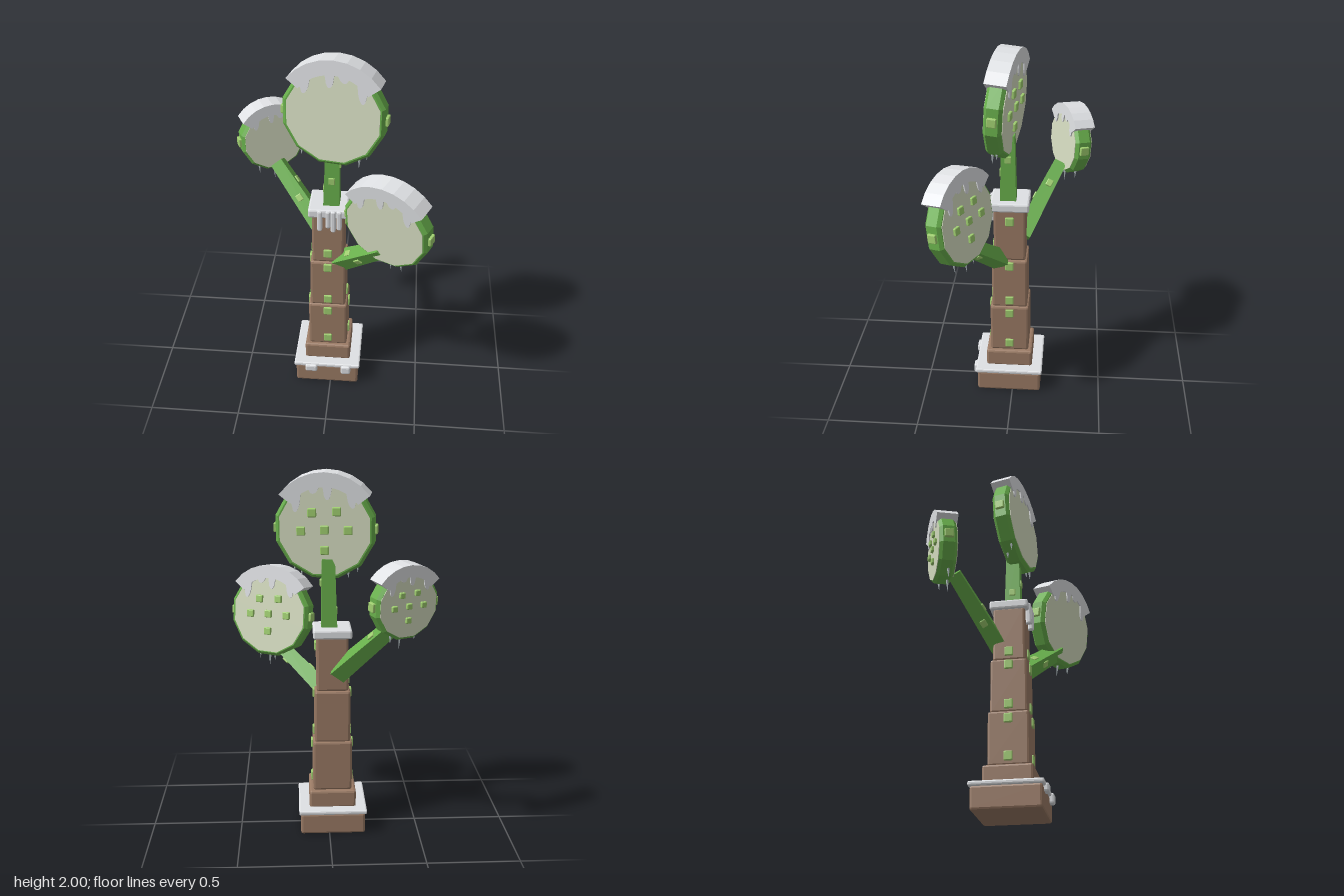
import * as THREE from 'three';
import { RoundedBoxGeometry } from 'three/addons/geometries/RoundedBoxGeometry.js';

const mat = (color) => new THREE.MeshStandardMaterial({ color, flatShading: true });
const BARK = mat(0x9b7b65), GREEN = mat(0x69b04c), LEAF = mat(0xa0cf70);
const PALE = mat(0xd8dfc3), SNOW = mat(0xdfe1e4), ICE = mat(0xb4bfc2);
const CX = -0.02, CZ = 0.02; // trunk axis

function add(parent, name, geometry, material, x = 0, y = 0, z = 0) {
  const m = new THREE.Mesh(geometry, material);
  m.name = name;
  m.position.set(x, y, z);
  parent.add(m);
  return m;
}

// Box with chamfered edges
const block = (w, h, d, bevel) => new RoundedBoxGeometry(w, h, d, 1, bevel);

// Square block on the trunk axis between two heights
function tier(parent, name, half, y0, y1, material, bevel = 0.012) {
  add(parent, name, block(half * 2, y1 - y0, half * 2, bevel), material, CX, (y0 + y1) / 2, CZ);
}

// Slightly tapered square branch between two points, with small leaf patches
function branch(parent, name, from, to, w0, w1) {
  const a = new THREE.Vector3(...from), b = new THREE.Vector3(...to);
  const dir = b.clone().sub(a), len = dir.length();
  const g = new THREE.Group();
  g.name = name;
  g.position.copy(a).addScaledVector(dir, 0.5);
  g.quaternion.setFromUnitVectors(new THREE.Vector3(0, 1, 0), dir.normalize());
  const geo = new THREE.CylinderGeometry(w1 * Math.SQRT1_2, w0 * Math.SQRT1_2, len, 4);
  add(g, name + 'Wood', geo.rotateY(Math.PI / 4), GREEN);
  const off = (w0 + w1) / 4;
  add(g, 'branchPatch', block(0.035, 0.04, 0.014, 0.004), LEAF, 0, 0, off);
  add(g, 'branchPatch', block(0.014, 0.04, 0.035, 0.004), LEAF, off, len * 0.2, 0);
  add(g, 'branchPatch', block(0.014, 0.04, 0.035, 0.004), LEAF, -off, -len * 0.15, 0);
  parent.add(g);
}

// Curved snow cap with drips hanging over both faces
function snowGeometry(R) {
  const r1 = R + 0.028, r0 = R * 0.82, a0 = 0.65, a1 = Math.PI - 0.65;
  const drips = [[-0.52, 0.2], [-0.06, 0.24], [0.2, 0.1], [0.54, 0.27]];
  const pts = [];
  for (let i = 0; i <= 8; i++) {
    const a = a0 + ((a1 - a0) * i) / 8;
    pts.push(new THREE.Vector2(r1 * Math.cos(a), r1 * Math.sin(a)));
  }
  for (let i = 0; i <= 60; i++) {
    const a = a1 + ((a0 - a1) * i) / 60, x = r0 * Math.cos(a);
    let drop = 0;
    for (const [dx, l] of drips) {
      const t = (x / R - dx) / 0.085;
      if (Math.abs(t) < 1) drop = Math.max(drop, l * R * Math.sqrt(1 - t * t));
    }
    pts.push(new THREE.Vector2(x, r0 * Math.sin(a) - drop));
  }
  const depth = 0.114;
  const geo = new THREE.ExtrudeGeometry(new THREE.Shape(pts), { depth, bevelEnabled: false });
  return geo.translate(0, 0, -depth / 2);
}

// Twelve-sided disc of foliage with face plates, patches, snow and icicles
function foliage(parent, name, pos, R, yaw, pitch, icicles) {
  const g = new THREE.Group();
  g.name = name;
  g.position.set(...pos);
  g.rotation.set(pitch, yaw, 0, 'YXZ');
  parent.add(g);

  const h = 0.047, c = 0.016, apothem = R * Math.cos(Math.PI / 12);
  const profile = [[0, -h], [R - c, -h], [R, -h + c], [R, h - c], [R - c, h], [0, h]]
    .map(([x, y]) => new THREE.Vector2(x, y));
  const disc = (geo) => geo.rotateY(Math.PI / 12).rotateX(Math.PI / 2);
  add(g, 'rim', disc(new THREE.LatheGeometry(profile, 12)), GREEN);
  add(g, 'facePlates', disc(new THREE.CylinderGeometry(R * 0.91, R * 0.91, h * 2 + 0.006, 12)), PALE);
  add(g, 'snowCap', snowGeometry(R), SNOW);

  // Patches on the two sides of the rim
  for (const s of [-1, 1]) {
    add(g, 'rimPatch', block(0.022, 0.048, 0.05, 0.005), LEAF, s * (apothem + 0.004), 0, 0);
  }
  // Raised squares on the back face
  for (const [x, y] of [[-0.24, 0.36], [0.24, 0.33], [-0.46, 0], [0, 0], [0.46, -0.03], [0, -0.4]]) {
    const s = R * 0.17;
    add(g, 'backPatch', block(s, s, 0.02, 0.005), LEAF, x * R, y * R, -h - 0.007);
  }
  // Icicles under the rim: sideways place, length, depth place
  for (const [x, len, z] of icicles) {
    const cone = new THREE.ConeGeometry(0.009, len, 5).rotateX(Math.PI);
    const y = -Math.sqrt(apothem * apothem - x * x * R * R);
    add(g, 'icicle', cone, ICE, x * R, y - len / 2 + 0.008, z);
  }
}

export function createModel() {
  const model = new THREE.Group();
  model.name = 'snowyTree';

  // Stepped trunk
  tier(model, 'base', 0.18, 0.005, 0.127, BARK);
  tier(model, 'baseSnow', 0.19, 0.124, 0.149, SNOW, 0.008);
  tier(model, 'plinth', 0.13, 0.14, 0.243, BARK);
  tier(model, 'lowerTrunk', 0.108, 0.24, 0.53, BARK);
  tier(model, 'middleTrunk', 0.098, 0.525, 0.823, BARK);
  tier(model, 'upperTrunk', 0.087, 0.82, 1.13, BARK);
  tier(model, 'trunkSnow', 0.105, 1.12, 1.17, SNOW, 0.01);

  // Snow lumps on the base and drips on the trunk top
  add(model, 'snowLump', block(0.07, 0.045, 0.035, 0.01), SNOW, -0.11, 0.12, 0.207);
  add(model, 'snowLump', block(0.056, 0.055, 0.035, 0.01), SNOW, 0.09, 0.115, 0.207);
  [[-0.062, 0.125], [-0.018, 0.105], [0.01, 0.13], [0.042, 0.115]].forEach(([x, len]) => {
    add(model, 'snowDrip', block(0.026, len, 0.03, 0.008), SNOW, x, 1.168 - len / 2, 0.12);
  });

  // Leaf patches on the front and both sides of the trunk
  const patches = [[0.29, 0.108], [0.49, 0.108], [0.57, 0.098], [0.79, 0.098]];
  for (const [y, half] of patches) {
    add(model, 'trunkPatch', block(0.046, 0.05, 0.02, 0.005), LEAF, CX, y, CZ + half);
    for (const s of [-1, 1]) {
      add(model, 'trunkPatch', block(0.02, 0.05, 0.046, 0.005), LEAF, CX + s * half, y, CZ);
    }
  }
  add(model, 'trunkPatch', block(0.046, 0.05, 0.02, 0.005), LEAF, CX, 0.88, CZ + 0.087);
  add(model, 'trunkPatch', block(0.02, 0.05, 0.046, 0.005), LEAF, CX - 0.087, 0.87, CZ);
  add(model, 'trunkPatch', block(0.02, 0.05, 0.046, 0.005), LEAF, CX + 0.087, 1.06, CZ);

  // Branches
  branch(model, 'topBranch', [-0.005, 1.1, 0.03], [0, 1.54, 0.03], 0.09, 0.07);
  branch(model, 'leftBackBranch', [-0.05, 0.92, -0.04], [-0.33, 1.24, -0.235], 0.09, 0.07);
  branch(model, 'rightFrontBranch', [0.03, 0.8, 0.06], [0.28, 1.02, 0.235], 0.09, 0.07);

  // Foliage discs
  foliage(model, 'topFoliage', [0.012, 1.7, 0.042], 0.272, -0.18, -0.06,
    [[-0.62, 0.05, 0.02], [-0.45, 0.04, -0.02], [0.5, 0.06, 0.02], [0.62, 0.045, -0.01]]);
  foliage(model, 'rightFrontFoliage', [0.305, 1.187, 0.252], 0.245, -0.47, 0.12,
    [[-0.35, 0.05, 0.02], [0.02, 0.075, 0], [0.32, 0.06, 0.02], [-0.15, 0.04, -0.02]]);
  foliage(model, 'leftBackFoliage', [-0.367, 1.368, -0.293], 0.184, 0.43, -0.06,
    [[-0.45, 0.06, 0.01], [0, 0.08, 0.02], [0.4, 0.05, -0.01]]);
  return model;
}
